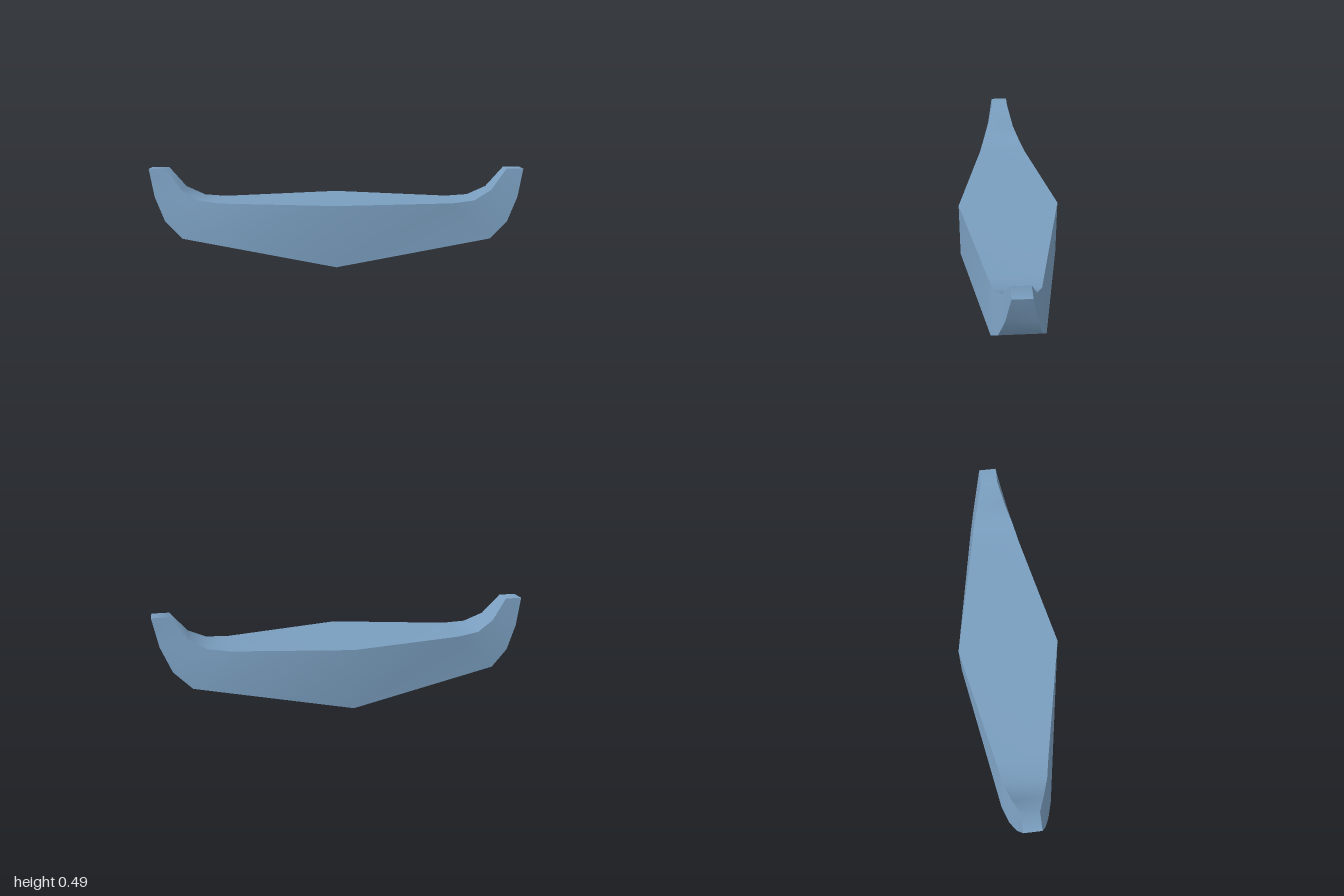
import * as THREE from 'three';
import { toCreasedNormals } from 'three/addons/utils/BufferGeometryUtils.js';

// Half-hull stations from midship to tip: keel x, y, half width; deck x, y, half width
const STATIONS = [
  [0, 0, 0.267, 0, 0.32, 0.267],
  [0.815, 0.122, 0.13, 0.615, 0.312, 0.135],
  [0.91, 0.208, 0.1, 0.73, 0.324, 0.112],
  [0.968, 0.337, 0.071, 0.825, 0.375, 0.079],
  [1, 0.485, 0.046, 0.91, 0.485, 0.046],
];

function hullGeometry() {
  // Mirror the half-hull so the sections run from the -x tip to the +x tip
  const mirrored = STATIONS.slice(1).reverse().map(([kx, ky, kz, dx, dy, dz]) => [-kx, ky, kz, -dx, dy, dz]);
  const sections = [...mirrored, ...STATIONS];
  const positions = [];
  for (const [kx, ky, kz, dx, dy, dz] of sections) {
    positions.push(kx, ky, -kz, kx, ky, kz, dx, dy, dz, dx, dy, -dz);
  }

  const index = [];
  const quad = (a, b, c, d) => index.push(a, b, c, a, c, d);
  for (let i = 0; i < sections.length - 1; i++) {
    for (let k = 0; k < 4; k++) {
      const n = (k + 1) % 4;
      quad(i * 4 + k, i * 4 + 4 + k, i * 4 + 4 + n, i * 4 + n);
    }
  }
  // Flat tops of the two tips
  const last = (sections.length - 1) * 4;
  quad(0, 1, 2, 3);
  quad(last + 3, last + 2, last + 1, last);

  const geometry = new THREE.BufferGeometry();
  geometry.setAttribute('position', new THREE.Float32BufferAttribute(positions, 3));
  geometry.setIndex(index);
  return toCreasedNormals(geometry, 1.0);
}

export function createModel() {
  const group = new THREE.Group();
  group.name = 'boat';
  const blue = new THREE.MeshStandardMaterial({ color: 0x7a9ebf });
  blue.name = 'steel blue';
  const hull = new THREE.Mesh(hullGeometry(), blue);
  hull.name = 'hull';
  group.add(hull);
  return group;
}
